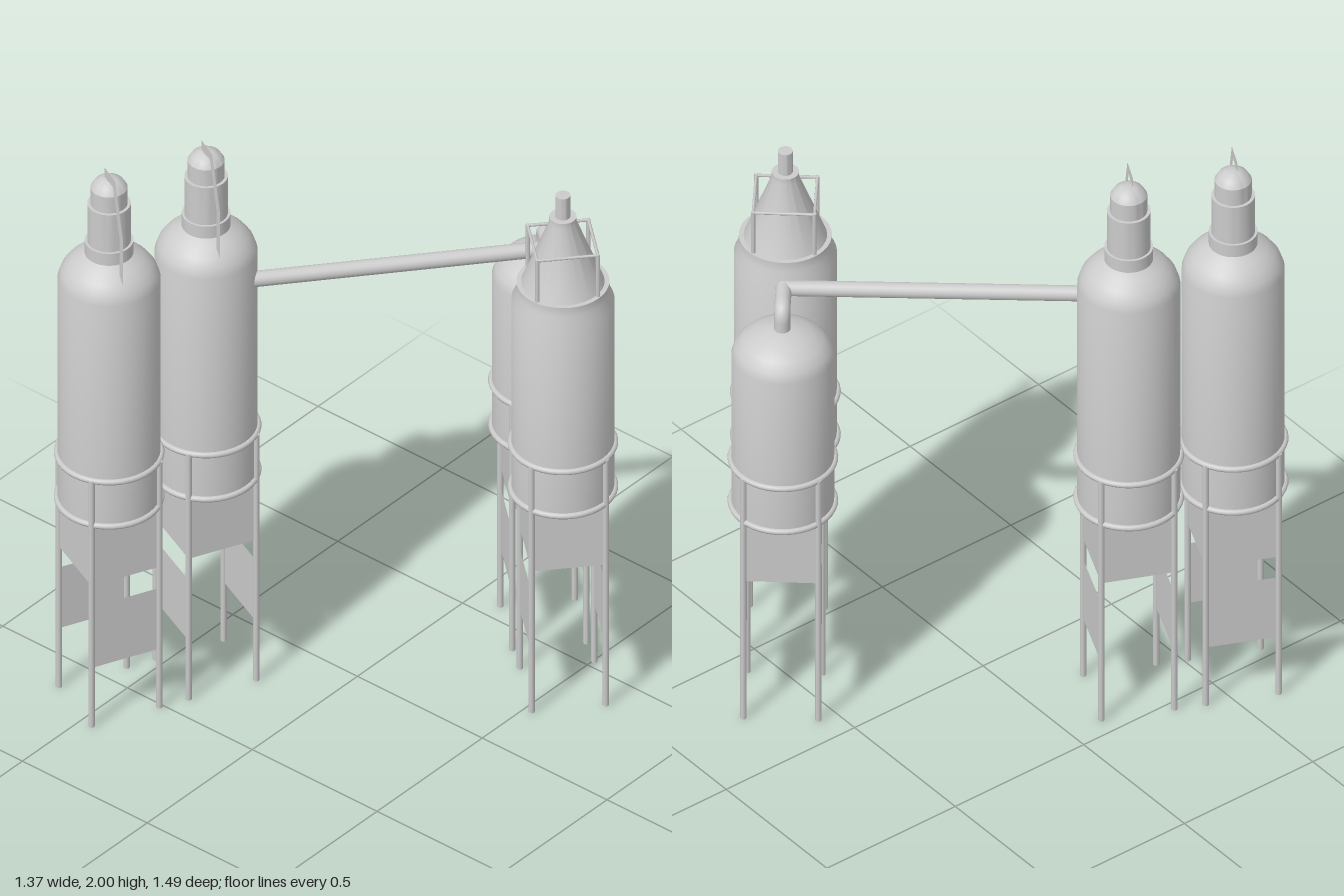
import * as THREE from 'three';
import { toCreasedNormals } from 'three/addons/utils/BufferGeometryUtils.js';

const grey = new THREE.MeshStandardMaterial({ color: 0xcccccc });
const greyThin = new THREE.MeshStandardMaterial({ color: 0xcccccc, side: THREE.DoubleSide });
const UP = new THREE.Vector3(0, 1, 0);
const LEG_R = 0.163;

function add(parent, name, geometry, material = grey) {
  const mesh = new THREE.Mesh(geometry, material);
  mesh.name = name;
  parent.add(mesh);
  return mesh;
}

// Round bar between two points
function bar(parent, name, a, b, radius, sides = 8) {
  const from = new THREE.Vector3(...a), to = new THREE.Vector3(...b);
  const dir = to.clone().sub(from);
  const mesh = add(parent, name, new THREE.CylinderGeometry(radius, radius, dir.length(), sides));
  mesh.position.copy(from).add(to).multiplyScalar(0.5);
  mesh.quaternion.setFromUnitVectors(UP, dir.normalize());
  return mesh;
}

function lathe(parent, name, profile) {
  const points = profile.map(([r, y]) => new THREE.Vector2(r, y));
  return add(parent, name, toCreasedNormals(new THREE.LatheGeometry(points, 40), 0.5));
}

// Corner number k of a four-post frame turned by angle
function corner(angle, k, radius) {
  const a = angle + k * Math.PI / 2;
  return [Math.sin(a) * radius, Math.cos(a) * radius];
}

// Flat sheet between two neighbouring legs
function panel(parent, name, angle, side, y0, y1) {
  const width = LEG_R * Math.SQRT2;
  const mesh = add(parent, name, new THREE.PlaneGeometry(width, y1 - y0), greyThin);
  const a = angle + (side + 0.5) * Math.PI / 2;
  mesh.position.set(Math.sin(a) * width / 2, (y0 + y1) / 2, Math.cos(a) * width / 2);
  mesh.rotation.y = a;
}

// Legs, hoops, side sheets and lower vessel shared by every silo
function silo(name, x, z, angle, lowerSides, topProfile) {
  const group = new THREE.Group();
  group.name = name;
  group.position.set(x, 0, z);
  lathe(group, 'tank', [[0, 0.72], [0.085, 0.72], [0.145, 0.74], [0.158, 0.755], ...topProfile]);
  for (const y of [0.76, 0.927]) {
    const hoop = add(group, 'hoop', new THREE.TorusGeometry(0.16, 0.01, 8, 40));
    hoop.rotation.x = Math.PI / 2;
    hoop.position.y = y;
  }
  for (let k = 0; k < 4; k++) {
    const [lx, lz] = corner(angle, k, LEG_R);
    bar(group, 'leg', [lx, 0, lz], [lx, 0.93, lz], 0.01);
    panel(group, 'upperPanel', angle, k, 0.53, 0.745);
  }
  for (const k of lowerSides) panel(group, 'lowerPanel', angle, k, 0.22, 0.45);
  return group;
}

const tallTop = [
  [0.158, 1.59], [0.148, 1.62], [0.13, 1.645], [0.105, 1.668], [0.075, 1.685],
  [0.075, 1.73], [0.067, 1.73], [0.067, 1.87], [0.057, 1.87], [0.057, 1.93],
  [0.045, 1.95], [0.025, 1.963], [0, 1.967],
];
const domeTop = [
  [0.158, 1.33], [0.148, 1.36], [0.125, 1.387], [0.09, 1.41], [0.045, 1.425], [0, 1.43],
];
const coneTop = [
  [0.158, 1.47], [0.143, 1.5], [0.143, 1.535], [0.128, 1.535], [0.042, 1.76], [0.042, 1.78],
  [0.023, 1.78], [0.023, 1.86], [0, 1.86],
];

// Thin bent vent strip running from the cap down to the shoulder
function ventStrip(parent) {
  const shape = new THREE.Shape([
    [-0.016, 2], [0.067, 2], [0.125, 1.82], [0.125, 1.64],
    [0.098, 1.64], [0.098, 1.81], [0.048, 1.97], [-0.016, 1.96],
  ].map(([u, y]) => new THREE.Vector2(u, y)));
  const mesh = add(parent, 'ventStrip', new THREE.ShapeGeometry(shape), greyThin);
  mesh.position.z = 0.012;
  mesh.rotation.y = -0.46;
}

// Guard frame around the cone
function guardFrame(parent, angle) {
  for (let k = 0; k < 4; k++) {
    const [ax, az] = corner(angle, k, 0.133);
    const [bx, bz] = corner(angle, k + 1, 0.133);
    bar(parent, 'guardPost', [ax, 1.52, az], [ax, 1.692, az], 0.007, 6);
    bar(parent, 'guardRail', [ax, 1.688, az], [bx, 1.688, bz], 0.005, 6);
  }
}

// Transfer pipe from the domed silo to the tall silo
function transferPipe(parent) {
  const v = (x, y, z) => new THREE.Vector3(x, y, z);
  const start = v(0.26, 1.41, -0.578), top = v(0.26, 1.5, -0.578);
  const bend = v(0.343, 1.5, -0.507), end = v(-0.25, 1.5, 0.205);
  const r = 0.025;
  const near = (a, b, d) => a.clone().add(b.clone().sub(a).setLength(d));
  const path = new THREE.CurvePath();
  const a = near(top, start, 0.04), b = near(top, bend, 0.04);
  path.add(new THREE.LineCurve3(start, a));
  path.add(new THREE.QuadraticBezierCurve3(a, top, b));
  path.add(new THREE.LineCurve3(b, bend));
  add(parent, 'pipeElbow', new THREE.TubeGeometry(path, 40, r, 16));
  add(parent, 'pipeJoint', new THREE.SphereGeometry(r, 16, 12)).position.copy(bend);
  bar(parent, 'transferPipe', bend.toArray(), end.toArray(), r, 16);
}

export function createModel() {
  const model = new THREE.Group();
  model.name = 'siloPlant';
  const turned = 0.365, straight = 0.07;
  const frontTall = silo('frontTallSilo', -0.514, 0.571, turned, [0, 2], tallTop);
  const rearTall = silo('rearTallSilo', -0.378, 0.271, turned, [1, 3], tallTop);
  const domed = silo('domedSilo', 0.261, -0.575, straight, [1, 3], domeTop);
  const coned = silo('conedSilo', 0.515, -0.366, straight, [1, 3], coneTop);
  ventStrip(frontTall);
  ventStrip(rearTall);
  guardFrame(coned, straight);
  model.add(frontTall, rearTall, domed, coned);
  transferPipe(model);
  return model;
}
